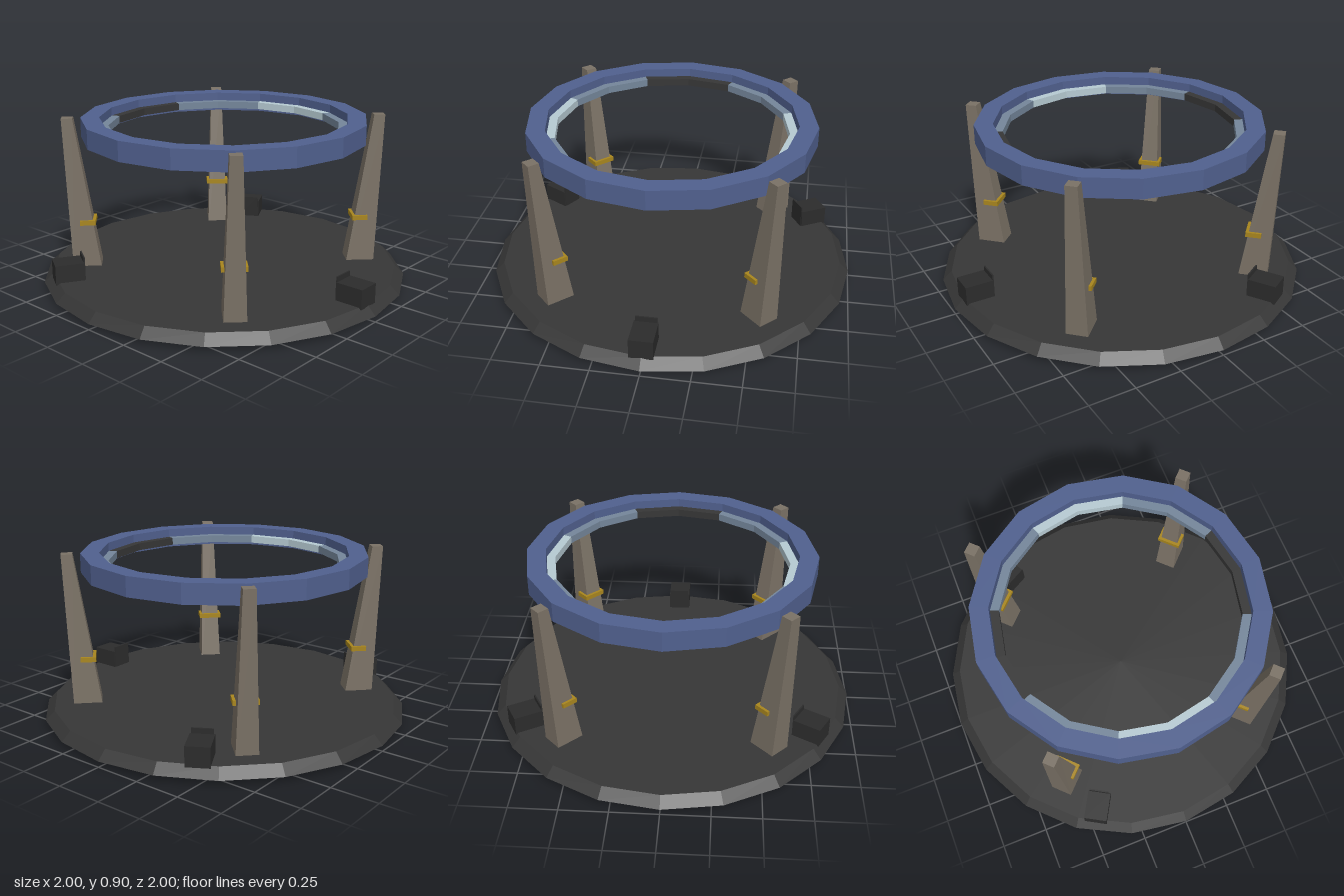
import * as THREE from 'three';

const mat = (name, color, side = THREE.FrontSide) => {
  const m = new THREE.MeshStandardMaterial({ color, flatShading: true, side });
  m.name = name;
  return m;
};

export function createModel() {
  const model = new THREE.Group();
  model.name = 'ringPlatform';

  const baseGrey = mat('baseGrey', 0x363636);
  const boxGrey = mat('boxGrey', 0x2c2c2c);
  const ringBlue = mat('ringBlue', 0x50608e);
  const stone = mat('stone', 0x7a7165);
  const brass = mat('brass', 0xa8861e);
  const paleLight = mat('paleLight', 0xb6cad2);
  const dimLight = mat('dimLight', 0x74869a);

  const add = (parent, name, geometry, material, x = 0, y = 0, z = 0) => {
    const mesh = new THREE.Mesh(geometry, material);
    mesh.name = name;
    mesh.position.set(x, y, z);
    parent.add(mesh);
    return mesh;
  };

  // Closed rectangular hoop, or an arc of one, with its corners on a 16-gon
  const hoop = (inner, outer, y0, y1, segments = 16, start = 0) => {
    const profile = [[inner, y0], [outer, y0], [outer, y1], [inner, y1], [inner, y0]]
      .map(([r, y]) => new THREE.Vector2(r, y));
    return new THREE.LatheGeometry(profile, segments, start, segments * Math.PI / 8);
  };

  // Twenty-sided bevelled floor disc
  add(model, 'base', new THREE.CylinderGeometry(0.95, 1, 0.05, 20), baseGrey, 0, 0.055, 0);

  // Raised ring and the strip of panels along its inside
  add(model, 'ring', hoop(0.67, 0.77, 0.8, 0.905), ringBlue);
  const stripColours = [baseGrey, dimLight, paleLight, dimLight];
  for (let i = 0; i < 8; i++) {
    add(model, 'innerPanel', hoop(0.622, 0.668, 0.82, 0.86, 2, (i - 0.5) * Math.PI / 4),
      stripColours[i % 4]);
  }

  // Leaning tapered leg, local +z pointing away from the centre
  const legGeometry = new THREE.BoxGeometry(1, 1, 1);
  const p = legGeometry.attributes.position;
  for (let i = 0; i < p.count; i++) {
    const top = p.getY(i) > 0, out = p.getZ(i) > 0;
    const width = top ? 0.062 : 0.12;
    const radius = top ? (out ? 0.87 : 0.81) : (out ? 0.835 : 0.675);
    p.setXYZ(i, p.getX(i) * width, top ? 0.905 : (out ? 0 : 0.02), radius);
  }
  legGeometry.computeVertexNormals();

  for (let i = 0; i < 4; i++) {
    const support = new THREE.Group();
    support.name = 'support';
    support.rotation.y = Math.PI / 4 + i * Math.PI / 2;
    model.add(support);
    add(support, 'leg', legGeometry, stone);
    // U-shaped clip around the inner face of the leg
    add(support, 'clipBar', new THREE.BoxGeometry(0.13, 0.026, 0.022), brass, 0, 0.33, 0.719);
    for (const s of [-1, 1]) {
      add(support, 'clipArm', new THREE.BoxGeometry(0.015, 0.026, 0.064), brass, s * 0.0575, 0.33, 0.76);
    }
  }

  // Three floor boxes, each with an upright plate at its inner end
  for (let i = 0; i < 3; i++) {
    const unit = new THREE.Group();
    unit.name = 'floorBox';
    unit.rotation.y = i * Math.PI * 2 / 3;
    model.add(unit);
    add(unit, 'boxBody', new THREE.BoxGeometry(0.124, 0.107, 0.155), boxGrey, 0, 0.1235, 0.877);
    add(unit, 'boxPlate', new THREE.BoxGeometry(0.11, 0.125, 0.008), boxGrey, 0, 0.1425, 0.8);
  }

  return model;
}
